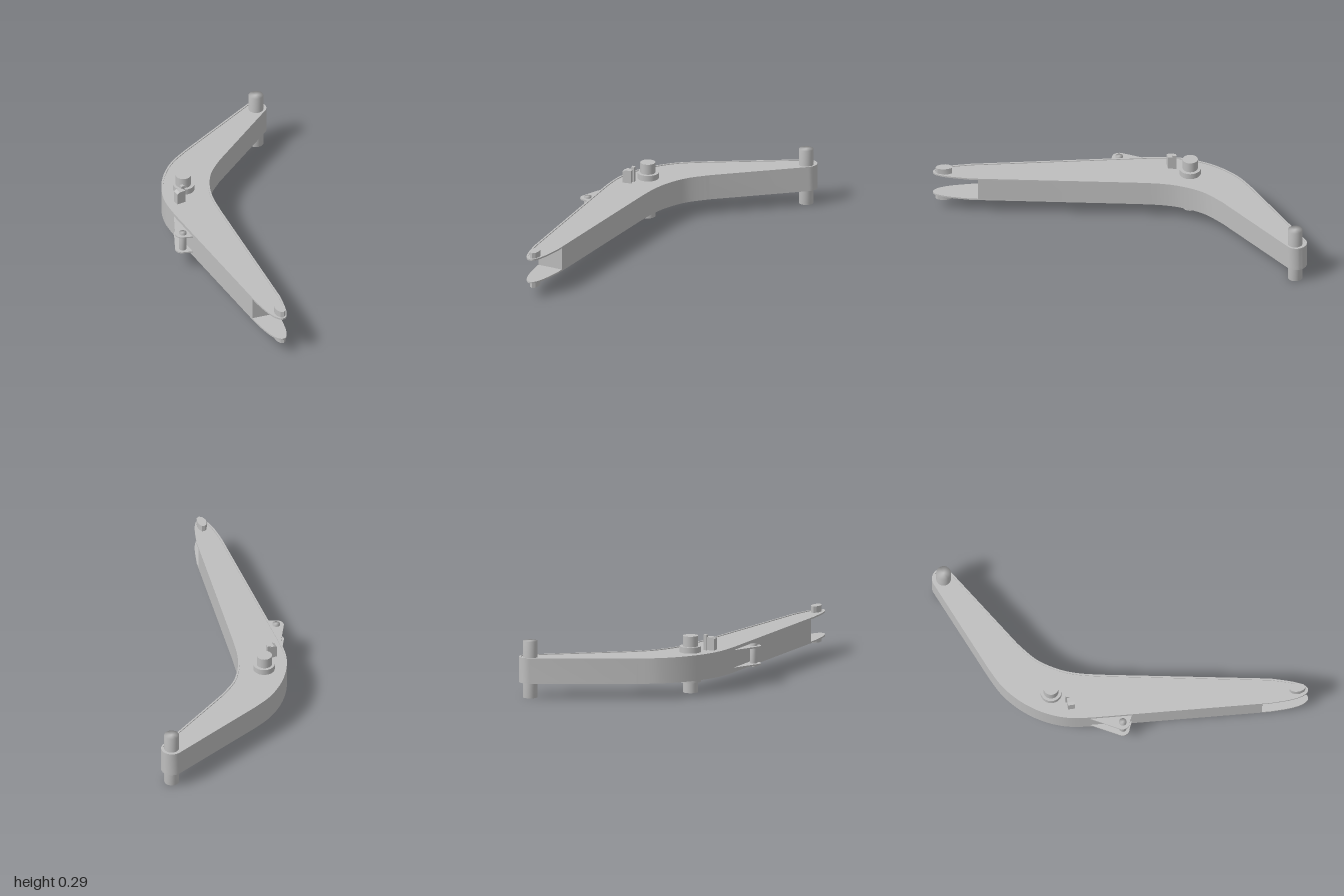
import * as THREE from 'three';
import { mergeVertices, toCreasedNormals } from 'three/addons/utils/BufferGeometryUtils.js';

const V = (x, z) => new THREE.Vector2(x, -z); // plan point: shape y is -z

// Boom outline in plan, counter-clockwise: straight runs joined by smooth bends
function boomOutline() {
  const s = new THREE.Shape();
  // rounded rear end
  s.absarc(0.236, 0.945, 0.055, -0.65, Math.PI * 0.77, false);
  // outer side
  s.lineTo(-0.155, 0.572);
  s.splineThru([V(-0.225, -0.475), V(-0.272, -0.36), V(-0.291, -0.24), V(-0.282, -0.12), V(-0.243, 0.0)]);
  s.lineTo(0.115, -0.84);
  // pointed fork tip
  s.splineThru([V(0.16, 0.925), V(0.2, 0.98), V(0.235, 1.0), V(0.258, 0.98), V(0.26, 0.915), V(0.241, 0.8)]);
  // inner side
  s.lineTo(0.0, 0.0);
  s.splineThru([V(-0.034, -0.13), V(-0.045, -0.24), V(-0.03, -0.36), V(0.02, -0.475)]);
  s.closePath();
  return s.getPoints(8).filter((p, i, a) => p.distanceTo(a[(i + 1) % a.length]) > 1e-4);
}

// Moves every point of a counter-clockwise outline inwards
function inset(pts, d) {
  const n = pts.length;
  return pts.map((p, i) => {
    const t = pts[(i + 1) % n].clone().sub(pts[(i + n - 1) % n]).normalize();
    return new THREE.Vector2(p.x - t.y * d, p.y + t.x * d);
  });
}

// Keeps the part of an outline left of the line a-b
function clip(pts, a, b) {
  const side = p => (b.x - a.x) * (p.y - a.y) - (b.y - a.y) * (p.x - a.x);
  const out = [];
  pts.forEach((p, i) => {
    const q = pts[(i + 1) % pts.length];
    const sp = side(p), sq = side(q);
    if (sp >= 0) out.push(p);
    if (sp * sq < 0) out.push(p.clone().lerp(q, sp / (sp - sq)));
  });
  return out;
}

export function createModel() {
  const group = new THREE.Group();
  const grey = new THREE.MeshStandardMaterial({ color: 0xbebebe });
  grey.name = 'grey steel';

  const add = (name, geo) => {
    const m = new THREE.Mesh(geo, grey);
    m.name = name;
    group.add(m);
    return m;
  };
  // Flat part from a plan outline between two heights
  const slab = (name, pts, y0, y1, hole) => {
    const shape = new THREE.Shape(pts);
    if (hole) shape.holes.push(new THREE.Path(hole));
    const geo = new THREE.ExtrudeGeometry(shape, { depth: y1 - y0, bevelEnabled: false });
    geo.rotateX(-Math.PI / 2);
    geo.translate(0, y0, 0);
    add(name, toCreasedNormals(geo, 0.45));
  };
  // Upright round pin; a soft one is shaded smoothly over its end edges
  const pin = (name, x, z, r, y0, y1, soft) => {
    let geo = new THREE.CylinderGeometry(r, r, y1 - y0, 32);
    if (soft) {
      geo.deleteAttribute('normal');
      geo.deleteAttribute('uv');
      geo = mergeVertices(geo);
      geo.computeVertexNormals();
    }
    add(name, geo).position.set(x, (y0 + y1) / 2, z);
  };

  const outline = boomOutline();
  const inner = inset(outline, 0.009);

  // Solid beam, cut off square before the open fork tip
  slab('boomCore', clip(outline, V(0.1, 0.8), V(0.235, 0.76)), 0.087, 0.204);

  // Top and bottom plates, slightly recessed within a raised rim
  slab('topPlate', inner, 0.203, 0.207);
  slab('bottomPlate', inner, 0.084, 0.088);
  slab('topRim', outline, 0.203, 0.211, inner);
  slab('bottomRim', outline, 0.08, 0.088, inner);

  // Rear pin and middle pin with its boss
  pin('rearPin', 0.238, -0.941, 0.0375, 0, 0.291, true);
  pin('middlePin', -0.18, -0.232, 0.0385, 0, 0.291);
  pin('middleBoss', -0.178, -0.232, 0.0545, 0.054, 0.237);

  // Oblong lugs on the fork tip
  const lug = [V(0.2, 0.925), V(0.201, 0.945), V(0.21, 0.965), V(0.228, 0.982), V(0.245, 0.985),
    V(0.254, 0.97), V(0.25, 0.943), V(0.238, 0.92), V(0.222, 0.905), V(0.207, 0.91)];
  slab('topForkLug', lug, 0.203, 0.24);
  slab('bottomForkLug', lug, 0.052, 0.088);

  // Side bracket: two ears and a cross pin
  const ear = new THREE.Shape();
  ear.moveTo(-0.243, 0.04);
  ear.lineTo(-0.249, -0.16);
  ear.absarc(-0.213, -0.16, 0.036, Math.PI, Math.PI * 1.62, false);
  ear.lineTo(-0.155, -0.192);
  ear.lineTo(-0.148, -0.17);
  ear.lineTo(-0.2, 0.04);
  const earPts = ear.getPoints(10);
  slab('lowerBracketEar', earPts, 0.098, 0.105);
  slab('upperBracketEar', earPts, 0.188, 0.195);
  pin('bracketPin', -0.21, 0.16, 0.019, 0.088, 0.203, true);

  // Small stop block on the top plate, chamfered on its outer edge
  const profile = new THREE.Shape([
    new THREE.Vector2(-0.021, 0), new THREE.Vector2(0.025, 0), new THREE.Vector2(0.025, 0.068),
    new THREE.Vector2(-0.006, 0.068), new THREE.Vector2(-0.021, 0.06)]);
  const stop = add('stopBlock', new THREE.ExtrudeGeometry(profile, { depth: 0.036, bevelEnabled: false }));
  stop.geometry.translate(0, 0, -0.018);
  stop.position.set(-0.209, 0.206, -0.117);
  stop.rotation.y = 0.48;
  const tab = add('stopTab', new THREE.BoxGeometry(0.017, 0.081, 0.02));
  tab.position.set(-0.193, 0.2465, -0.142);
  tab.rotation.y = 0.48;

  return group;
}
